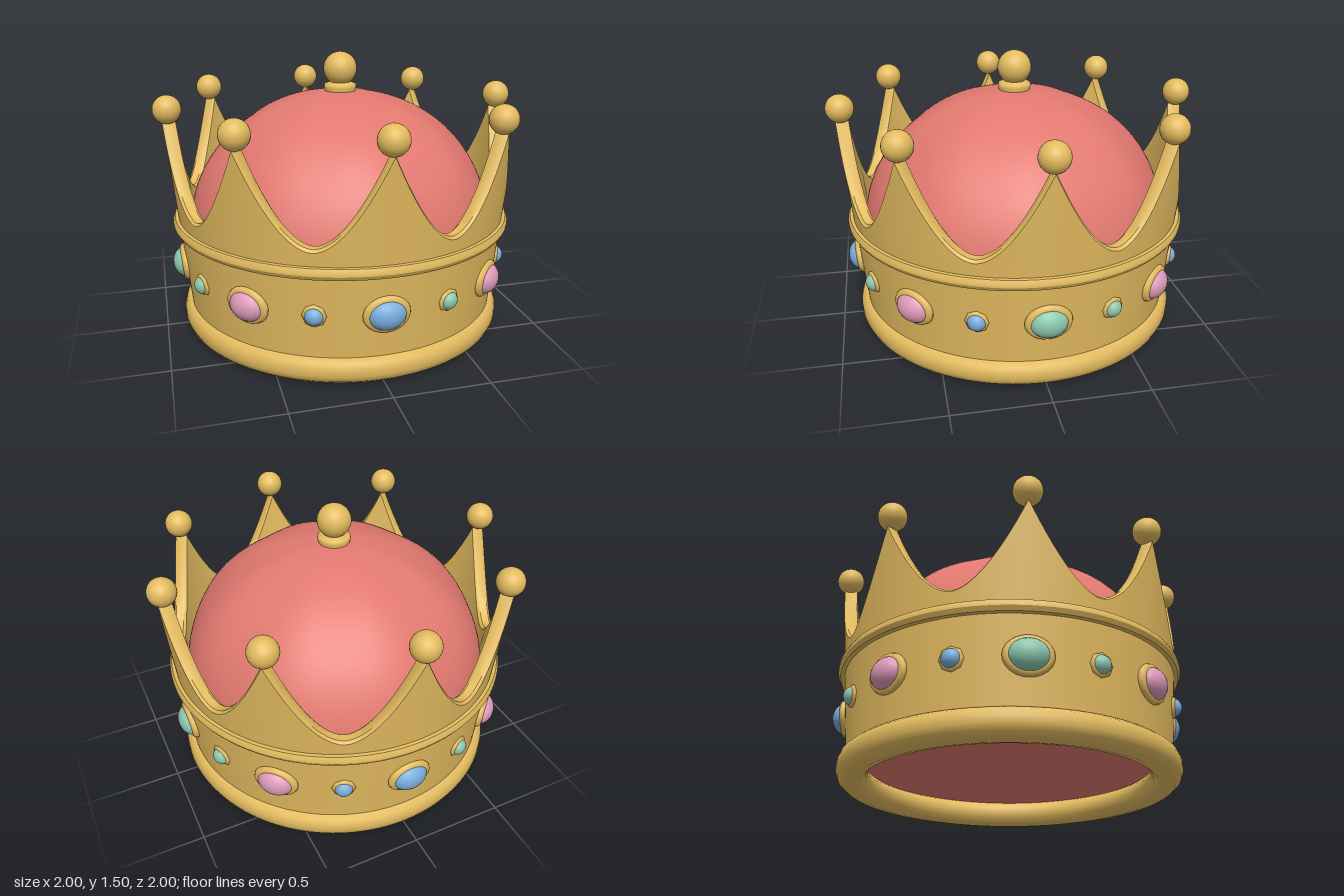
import * as THREE from 'three';
import { toCreasedNormals } from 'three/addons/utils/BufferGeometryUtils.js';

const mat = (name, color) => {
  const m = new THREE.MeshStandardMaterial({ color });
  m.name = name;
  return m;
};

export function createModel() {
  const gold = mat('gold', 0xe3bb5f);
  const velvet = mat('red velvet', 0xe27970);
  const blue = mat('blue gem', 0x7aaede);
  const pink = mat('pink gem', 0xdf9bba);
  const green = mat('green gem', 0x8cc8b0);

  const crown = new THREE.Group();
  crown.name = 'crown';

  const add = (name, geometry, material, parent = crown) => {
    const mesh = new THREE.Mesh(geometry, material);
    mesh.name = name;
    parent.add(mesh);
    return mesh;
  };
  const lathe = (points, segments = 96) =>
    new THREE.LatheGeometry(points.map(([r, y]) => new THREE.Vector2(r, y)), segments);

  // The wall flares slightly outward with height
  const SLOPE = 0.098;
  const wallRadius = (y) => 0.84 + SLOPE * y;

  // Wall with eight concave points, swept round as a closed cross-section
  function wallGeometry() {
    const perPoint = 28, columns = 8 * perPoint, thick = 0.07, bevel = 0.014;
    const positions = [], index = [];
    let rows = 0;
    for (let i = 0; i <= columns; i++) {
      const angle = (i / columns) * Math.PI * 2;
      const t = Math.abs(((i / perPoint + 0.5) % 1) - 0.5) * 2; // 0 at a tip, 1 in a valley
      const h = 0.715 + 0.455 * Math.pow(1 - t, 1.8);
      const section = [
        [0, 0.1], [0, 0.6], [0, h - bevel], [bevel, h],
        [thick - bevel, h], [thick, h - bevel], [thick, 0.6], [thick, 0.15],
      ];
      rows = section.length;
      for (const [inset, y] of section) {
        const r = wallRadius(y) - inset;
        positions.push(r * Math.sin(angle), y, r * Math.cos(angle));
      }
    }
    for (let i = 0; i < columns; i++) {
      for (let j = 0; j < rows - 1; j++) {
        const a = i * rows + j, b = a + rows;
        index.push(a, b, b + 1, a, b + 1, a + 1);
      }
    }
    const g = new THREE.BufferGeometry();
    g.setAttribute('position', new THREE.Float32BufferAttribute(positions, 3));
    g.setIndex(index);
    return toCreasedNormals(g, 0.6);
  }
  add('pointedWall', wallGeometry(), gold);

  // Rounded base roll
  add('baseRoll', lathe([
    [0.79, 0.145], [0.758, 0.128], [0.741, 0.1], [0.736, 0.07], [0.745, 0.035], [0.77, 0.01],
    [0.81, 0], [0.855, 0.008], [0.882, 0.03], [0.895, 0.06], [0.895, 0.095], [0.885, 0.125],
    [0.865, 0.142], [0.83, 0.147],
  ]), gold);

  // Raised moulding above the gems
  add('moulding', toCreasedNormals(lathe([
    [0.88, 0.573], [0.918, 0.575], [0.931, 0.597], [0.931, 0.61], [0.92, 0.632], [0.88, 0.635],
  ]), 0.5), gold);

  // Softly lobed velvet dome and flat lining
  const dome = new THREE.SphereGeometry(0.835, 96, 32, 0, Math.PI * 2, 0, Math.PI / 2);
  const p = dome.attributes.position;
  for (let i = 0; i < p.count; i++) {
    const x = p.getX(i), y = p.getY(i), z = p.getZ(i);
    const up = y / 0.835;
    const puff = 1 + 0.02 * Math.cos(8 * Math.atan2(x, z)) * up * (1 - up * up);
    p.setXYZ(i, x * puff, 0.54 + up * 0.75 * puff, z * puff);
  }
  dome.computeVertexNormals();
  add('velvetDome', dome, velvet);
  const lining = add('lining', new THREE.CircleGeometry(0.8, 64), velvet);
  lining.rotation.x = Math.PI / 2;
  lining.position.y = 0.138;

  // Finial on top of the dome
  add('finialCollar', lathe([
    [0.075, 1.24], [0.083, 1.285], [0.088, 1.305], [0.085, 1.322], [0.05, 1.335],
  ], 32), gold);
  add('finialBall', new THREE.SphereGeometry(0.09, 32, 20), gold).position.y = 1.405;

  // Gem in a ring setting, lying on the sloped wall
  function addGem(name, angle, material, [w, h, depth], ring, tube, squash, segments) {
    const g = new THREE.Group();
    g.name = name;
    const y = 0.375, r = wallRadius(y);
    g.position.set(r * Math.sin(angle), y, r * Math.cos(angle));
    g.rotation.set(SLOPE, angle, 0, 'YXZ');
    const setting = add('setting', new THREE.TorusGeometry(ring, tube, 10, segments), gold, g);
    setting.scale.set(1, squash, 0.8);
    const gem = add('gem', new THREE.SphereGeometry(1, 24, 16), material, g);
    gem.scale.set(w, h, depth);
    crown.add(g);
  }

  const largeColours = [blue, pink, green, pink];
  const ball = new THREE.SphereGeometry(0.075, 28, 18);
  for (let k = 0; k < 8; k++) {
    const angle = (k * Math.PI) / 4;
    // Ball on each tip
    add('tipBall', ball, gold).position.set(0.925 * Math.sin(angle), 1.225, 0.925 * Math.cos(angle));
    // Large gem under each tip, small one under each valley
    addGem('largeGem', angle, largeColours[k % 4], [0.097, 0.081, 0.069], 0.09, 0.029, 0.83, 24);
    addGem('smallGem', angle + Math.PI / 8, k % 2 ? blue : green, [0.048, 0.048, 0.045], 0.042, 0.019, 1, 8);
  }
  return crown;
}
